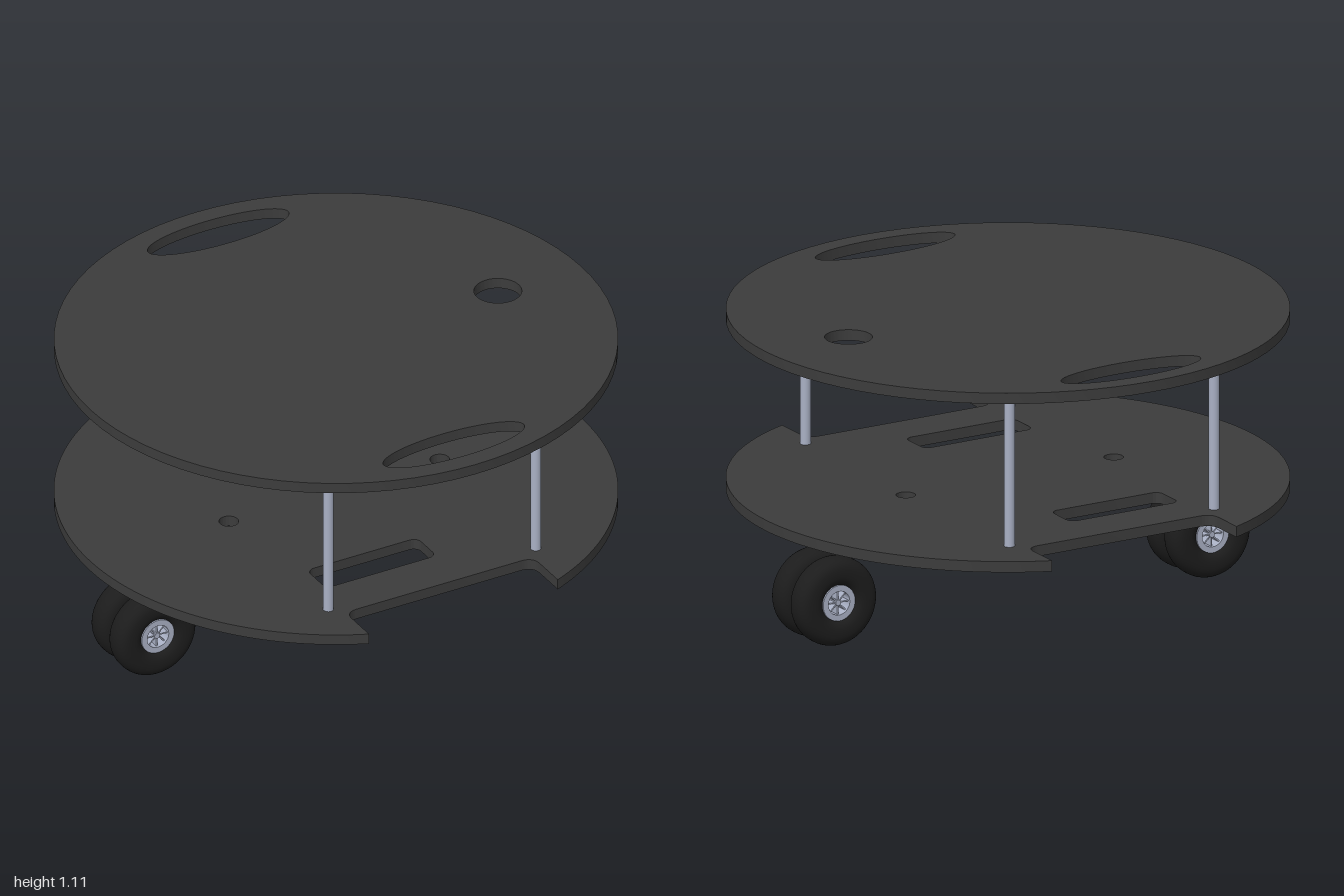
import * as THREE from 'three';
import { toCreasedNormals } from 'three/addons/utils/BufferGeometryUtils.js';

const plateMat = new THREE.MeshStandardMaterial({ color: 0x3c3c3c });
const metalMat = new THREE.MeshStandardMaterial({ color: 0xa9b0c4 });
const tyreMat = new THREE.MeshStandardMaterial({ color: 0x1c1c1c });

const THICK = 0.04;
const CX = -0.007; // slight offset of the plate cut-outs and posts

function add(parent, name, geometry, material) {
  const mesh = new THREE.Mesh(geometry, material);
  mesh.name = name;
  parent.add(mesh);
  return mesh;
}

// Flat plate lying in xz with its underside at height y
function plateGeometry(shape, y) {
  const g = new THREE.ExtrudeGeometry(shape, { depth: THICK, bevelEnabled: false, curveSegments: 40 });
  g.rotateX(-Math.PI / 2).translate(0, y, 0);
  return toCreasedNormals(g, 0.5);
}

function ellipseHole(x, y, rx, ry) {
  return new THREE.Path().absellipse(x, y, rx, ry, 0, Math.PI * 2, true);
}

function roundedSlot(x0, x1, y0, y1, r) {
  const p = new THREE.Path();
  p.absarc(x1 - r, y1 - r, r, 0, Math.PI / 2);
  p.absarc(x0 + r, y1 - r, r, Math.PI / 2, Math.PI);
  p.absarc(x0 + r, y0 + r, r, Math.PI, Math.PI * 1.5);
  p.absarc(x1 - r, y0 + r, r, Math.PI * 1.5, Math.PI * 2);
  p.closePath();
  return p;
}

// Disc with hand slots and a round cable hole
function topShape() {
  const s = new THREE.Shape().absarc(0, 0, 1, 0, Math.PI * 2);
  for (const side of [-1, 1]) s.holes.push(ellipseHole(0, side * 0.843, 0.285, 0.084));
  s.holes.push(ellipseHole(0.66, 0, 0.085, 0.085));
  return s;
}

// Disc with a rounded notch front and back, two slots and two small holes
function lowerShape() {
  const s = new THREE.Shape();
  const half = 0.383, depth = 0.75, r = 0.05;
  const xr = CX + half, xl = CX - half;
  const ar = Math.acos(xr), al = Math.acos(xl);
  s.absarc(0, 0, 1, -ar, ar);
  s.lineTo(xr, depth + r);
  s.quadraticCurveTo(xr, depth, xr - r, depth);
  s.lineTo(xl + r, depth);
  s.quadraticCurveTo(xl, depth, xl, depth + r);
  s.absarc(0, 0, 1, al, Math.PI * 2 - al);
  s.lineTo(xl, -depth - r);
  s.quadraticCurveTo(xl, -depth, xl + r, -depth);
  s.lineTo(xr - r, -depth);
  s.quadraticCurveTo(xr, -depth, xr, -depth - r);
  s.closePath();
  s.holes.push(roundedSlot(-0.365, 0.085, 0.43, 0.57, 0.03));
  s.holes.push(roundedSlot(-0.365, 0.085, -0.57, -0.43, 0.03));
  for (const side of [-1, 1]) s.holes.push(ellipseHole(CX + side * 0.43, 0, 0.035, 0.035));
  return s;
}

// Wheel centred on the origin with its axle along z
function makeWheel() {
  const wheel = new THREE.Group();

  // Plump tyre: a squared-off oval section turned about the axle
  const section = [];
  for (let i = 0; i <= 32; i++) {
    const a = (i / 32) * Math.PI * 2;
    const soft = (v) => Math.sign(v) * Math.pow(Math.abs(v), 0.8);
    section.push(new THREE.Vector2(0.111 + 0.052 * soft(Math.cos(a)), 0.054 * soft(Math.sin(a))));
  }
  add(wheel, 'tyre', new THREE.LatheGeometry(section, 56).rotateX(Math.PI / 2), tyreMat);

  // Hub rim
  const ring = new THREE.Shape().absarc(0, 0, 0.066, 0, Math.PI * 2);
  ring.holes.push(ellipseHole(0, 0, 0.044, 0.044));
  const rim = new THREE.ExtrudeGeometry(ring, { depth: 0.08, bevelEnabled: false, curveSegments: 20 });
  add(wheel, 'rim', toCreasedNormals(rim.translate(0, 0, -0.04), 0.5), metalMat);

  // Spokes and centre boss
  for (let i = 0; i < 4; i++) {
    const spoke = add(wheel, 'spoke', new THREE.BoxGeometry(0.092, 0.005, 0.06), metalMat);
    spoke.rotation.z = (i * Math.PI) / 4;
  }
  add(wheel, 'boss', new THREE.CylinderGeometry(0.011, 0.011, 0.07, 20).rotateX(Math.PI / 2), metalMat);
  return wheel;
}

export function createModel() {
  const model = new THREE.Group();
  model.name = 'roundPlatform';

  add(model, 'topPlate', plateGeometry(topShape(), 1.068), plateMat);
  add(model, 'lowerPlate', plateGeometry(lowerShape(), 0.442), plateMat);

  // Four posts between the plates
  for (const sx of [-1, 1]) {
    for (const sz of [-1, 1]) {
      const post = add(model, 'post', new THREE.CylinderGeometry(0.019, 0.019, 0.586, 24), metalMat);
      post.position.set(CX + sx * 0.423, 0.775, sz * 0.7);
    }
  }

  // Twin wheels on a short axle, left and right
  for (const [name, x] of [['rightWheels', -0.785], ['leftWheels', 0.761]]) {
    const pair = new THREE.Group();
    pair.name = name;
    for (const sz of [-1, 1]) {
      const wheel = makeWheel();
      wheel.name = 'wheel';
      wheel.position.z = sz * 0.064;
      pair.add(wheel);
    }
    add(pair, 'axle', new THREE.CylinderGeometry(0.008, 0.008, 0.13, 16).rotateX(Math.PI / 2), metalMat);
    pair.position.set(x, 0.163, 0);
    model.add(pair);
  }
  return model;
}
